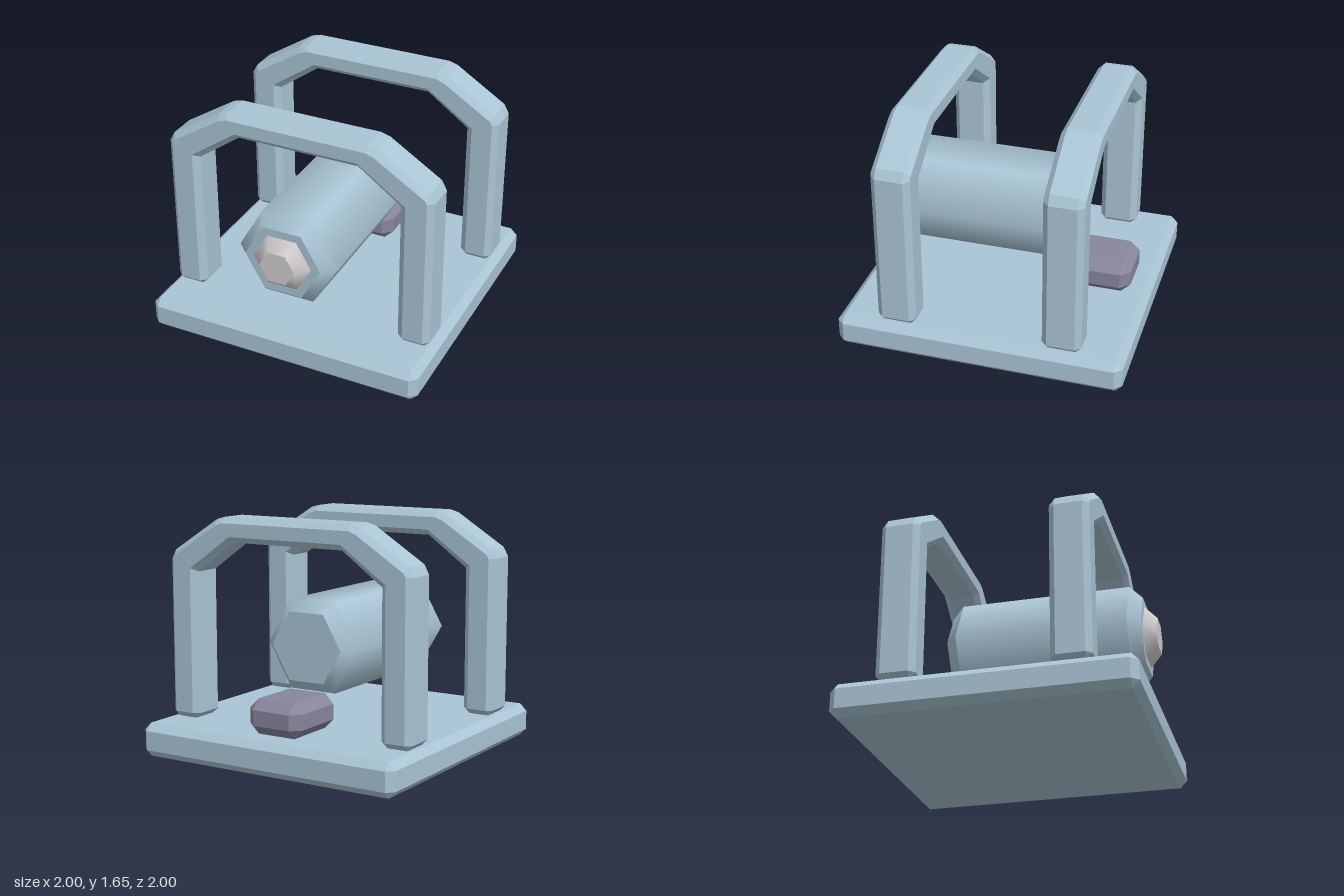
import * as THREE from 'three';
import { ConvexGeometry } from 'three/addons/geometries/ConvexGeometry.js';

function material(name, color) {
  const m = new THREE.MeshStandardMaterial({ color });
  m.name = name;
  return m;
}

// Box with every edge chamfered by c
function chamferBox(w, h, d, c) {
  const points = [];
  for (const sx of [-1, 1]) for (const sy of [-1, 1]) for (const sz of [-1, 1]) {
    for (let axis = 0; axis < 3; axis++) {
      const inset = [c, c, c];
      inset[axis] = 0;
      points.push(new THREE.Vector3(
        sx * (w / 2 - inset[0]), sy * (h / 2 - inset[1]), sz * (d / 2 - inset[2])));
    }
  }
  return new ConvexGeometry(points);
}

// Angular hoop: octagonal cross-sections swept from one foot to the other
function hoopGeometry() {
  const half = 0.135, inner = 0.095;
  // Outer edge, outer face edge, inner face edge, inner edge, face depth
  const right = [
    [[0.92, 0.235], [0.92, 0.235], [0.775, 0.235], [0.775, 0.235], inner],
    [[0.96, 0.275], [0.92, 0.275], [0.775, 0.275], [0.73, 0.275], half],
    [[0.96, 1.345], [0.92, 1.35], [0.775, 1.292], [0.73, 1.27], half],
    [[0.925, 1.41], [0.905, 1.375], [0.775, 1.292], [0.73, 1.27], half],
    [[0.565, 1.637], [0.555, 1.595], [0.44, 1.525], [0.43, 1.485], half],
    [[0.5, 1.655], [0.5, 1.615], [0.44, 1.525], [0.43, 1.485], half],
  ];
  const left = right.map((s) => s.map((p) => (Array.isArray(p) ? [-p[0], p[1]] : p))).reverse();
  const rings = [...right, ...left].map(([o, fo, fi, i, z]) => [
    [o, inner], [o, -inner], [fo, -z], [fi, -z], [i, -inner], [i, inner], [fi, z], [fo, z],
  ].map(([p, pz]) => new THREE.Vector3(p[0], p[1], pz)));

  const verts = [];
  const tri = (a, b, c) => {
    const area = b.clone().sub(a).cross(c.clone().sub(a)).length();
    if (area > 1e-8) verts.push(a, b, c);
  };
  const quad = (a, b, c, d) => { tri(a, b, c); tri(a, c, d); };
  for (let s = 0; s < rings.length - 1; s++) {
    const r = rings[s], n = rings[s + 1];
    for (let k = 0; k < 8; k++) {
      const j = (k + 1) % 8;
      quad(r[k], r[j], n[j], n[k]);
    }
  }
  // Soles of the two feet
  const first = rings[0], last = rings[rings.length - 1];
  quad(first[5], first[4], first[1], first[0]);
  quad(last[0], last[1], last[4], last[5]);
  const geometry = new THREE.BufferGeometry().setFromPoints(verts);
  geometry.computeVertexNormals();
  return geometry;
}

// Hexagonal stack along z with smooth sides, crisp steps and flat end caps
function hexStack(name, profile, mat) {
  const group = new THREE.Group();
  group.name = name;
  for (let i = 0; i < profile.length - 1; i++) {
    const [z0, r0] = profile[i], [z1, r1] = profile[i + 1];
    const side = new THREE.CylinderGeometry(r1, r0, z1 - z0, 6, 1, true);
    side.rotateX(Math.PI / 2).rotateZ(Math.PI / 2);
    side.translate(0, 0, (z0 + z1) / 2);
    const mesh = new THREE.Mesh(side, mat);
    mesh.name = name + 'Section';
    group.add(mesh);
  }
  for (const [end, turn] of [[profile[0], Math.PI], [profile[profile.length - 1], 0]]) {
    const cap = new THREE.CircleGeometry(end[1], 6);
    cap.rotateY(turn).translate(0, 0, end[0]);
    const mesh = new THREE.Mesh(cap, mat);
    mesh.name = name + 'Cap';
    group.add(mesh);
  }
  group.position.y = 0.775;
  return group;
}

export function createModel() {
  const model = new THREE.Group();
  const blueMetal = material('blue metal', 0xaac5d5);
  const paleMetal = material('pale metal', 0xd2ced1);
  const purpleMetal = material('purple grey metal', 0x87869d);

  const add = (name, geometry, mat, x, y, z) => {
    const mesh = new THREE.Mesh(geometry, mat);
    mesh.name = name;
    mesh.position.set(x, y, z);
    model.add(mesh);
  };

  // Base plate and rear block
  add('basePlate', chamferBox(2, 0.235, 2, 0.05), blueMetal, 0, 0.1175, 0);
  add('rearBlock', chamferBox(0.42, 0.24, 0.505, 0.067), purpleMetal, 0, 0.355, -0.615);

  // Front and rear hoops
  const hoop = hoopGeometry();
  add('frontHoop', hoop, blueMetal, 0, 0, 0.575);
  add('rearHoop', hoop, blueMetal, 0, 0, -0.575);

  // Hexagonal barrel with its nose
  model.add(hexStack('barrel', [[-0.445, 0.275], [-0.36, 0.36], [0.825, 0.36], [0.91, 0.275]], blueMetal));
  model.add(hexStack('nose', [[0.9, 0.21], [0.912, 0.21], [0.992, 0.127]], paleMetal));
  return model;
}
